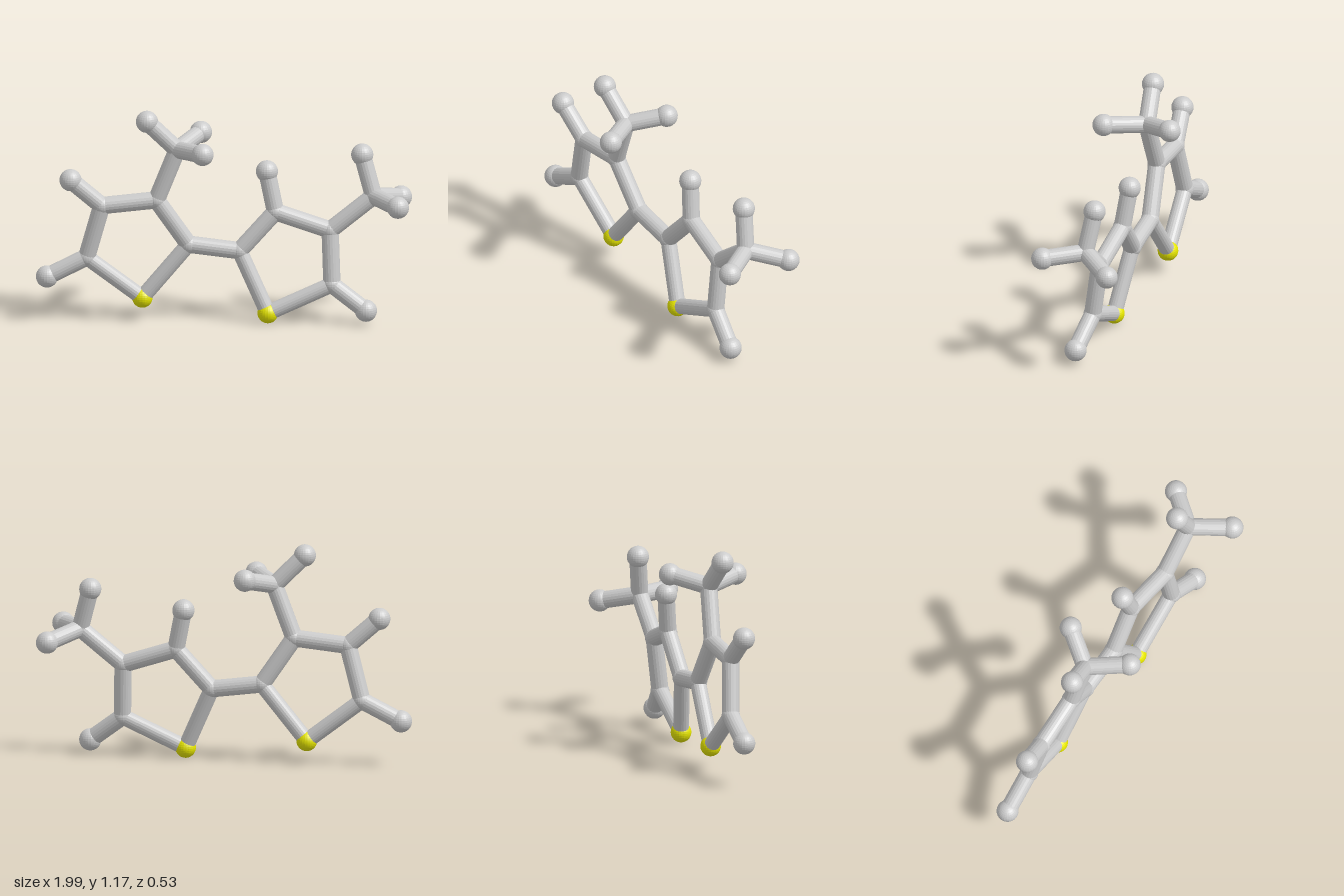
import * as THREE from 'three';

const grey = new THREE.MeshStandardMaterial({ color: 0xcccccc, flatShading: true });
const yellow = new THREE.MeshStandardMaterial({ color: 0xe6e600, flatShading: true });

// Atom centres: carbon C, hydrogen H, sulfur S
const atoms = {
  // left ring
  S1: [-0.435, 0.125, -0.04], C2: [-0.19, 0.42, -0.03], C3: [-0.36, 0.67, -0.005],
  C4: [-0.65, 0.64, 0], C5: [-0.73, 0.35, -0.025],
  H4: [-0.815, 0.785, 0.02], H5: [-0.94, 0.245, -0.02],
  // left methyl
  C6: [-0.25, 0.95, 0.01], H6a: [-0.41, 1.11, 0.035], H6b: [-0.115, 0.975, 0.205], H6c: [-0.125, 1.0, -0.165],
  // right ring
  S11: [0.23, 0.055, 0.015], C12: [0.08, 0.385, -0.03], C13: [0.27, 0.595, -0.045],
  C14: [0.56, 0.5, -0.025], C15: [0.57, 0.21, 0.01],
  H13: [0.225, 0.81, -0.07], H15: [0.75, 0.075, 0.04],
  // right methyl
  C16: [0.79, 0.685, -0.03], H16a: [0.73, 0.905, -0.06], H16b: [0.92, 0.675, 0.165], H16c: [0.935, 0.635, -0.205],
};

const bonds = [
  'S1 C2', 'C2 C3', 'C3 C4', 'C4 C5', 'C5 S1', 'C4 H4', 'C5 H5',
  'C3 C6', 'C6 H6a', 'C6 H6b', 'C6 H6c',
  'C2 C12',
  'S11 C12', 'C12 C13', 'C13 C14', 'C14 C15', 'C15 S11', 'C13 H13', 'C15 H15',
  'C14 C16', 'C16 H16a', 'C16 H16b', 'C16 H16c',
];

const kinds = {
  C: { name: 'carbonAtom', radius: 0.05, material: grey },
  H: { name: 'hydrogenAtom', radius: 0.059, material: grey },
  S: { name: 'sulfurAtom', radius: 0.055, material: yellow },
};

// Rod running from one atom centre to another
function makeBond(a, b, radius) {
  const from = new THREE.Vector3(...a);
  const dir = new THREE.Vector3(...b).sub(from);
  const rod = new THREE.Mesh(new THREE.CylinderGeometry(radius, radius, dir.length(), 20), grey);
  rod.name = 'bond';
  rod.position.copy(from).addScaledVector(dir, 0.5);
  rod.quaternion.setFromUnitVectors(new THREE.Vector3(0, 1, 0), dir.normalize());
  return rod;
}

export function createModel() {
  const model = new THREE.Group();
  model.name = 'molecule';

  // Atom balls
  for (const [id, position] of Object.entries(atoms)) {
    const { name, radius, material } = kinds[id[0]];
    const ball = new THREE.Mesh(new THREE.SphereGeometry(radius, 24, 16), material);
    ball.name = name;
    ball.position.set(...position);
    model.add(ball);
  }

  // Connecting rods, slightly thinner at the sulfur corners
  for (const pair of bonds) {
    const [a, b] = pair.split(' ');
    model.add(makeBond(atoms[a], atoms[b], pair.includes('S') ? 0.042 : 0.046));
  }
  return model;
}
